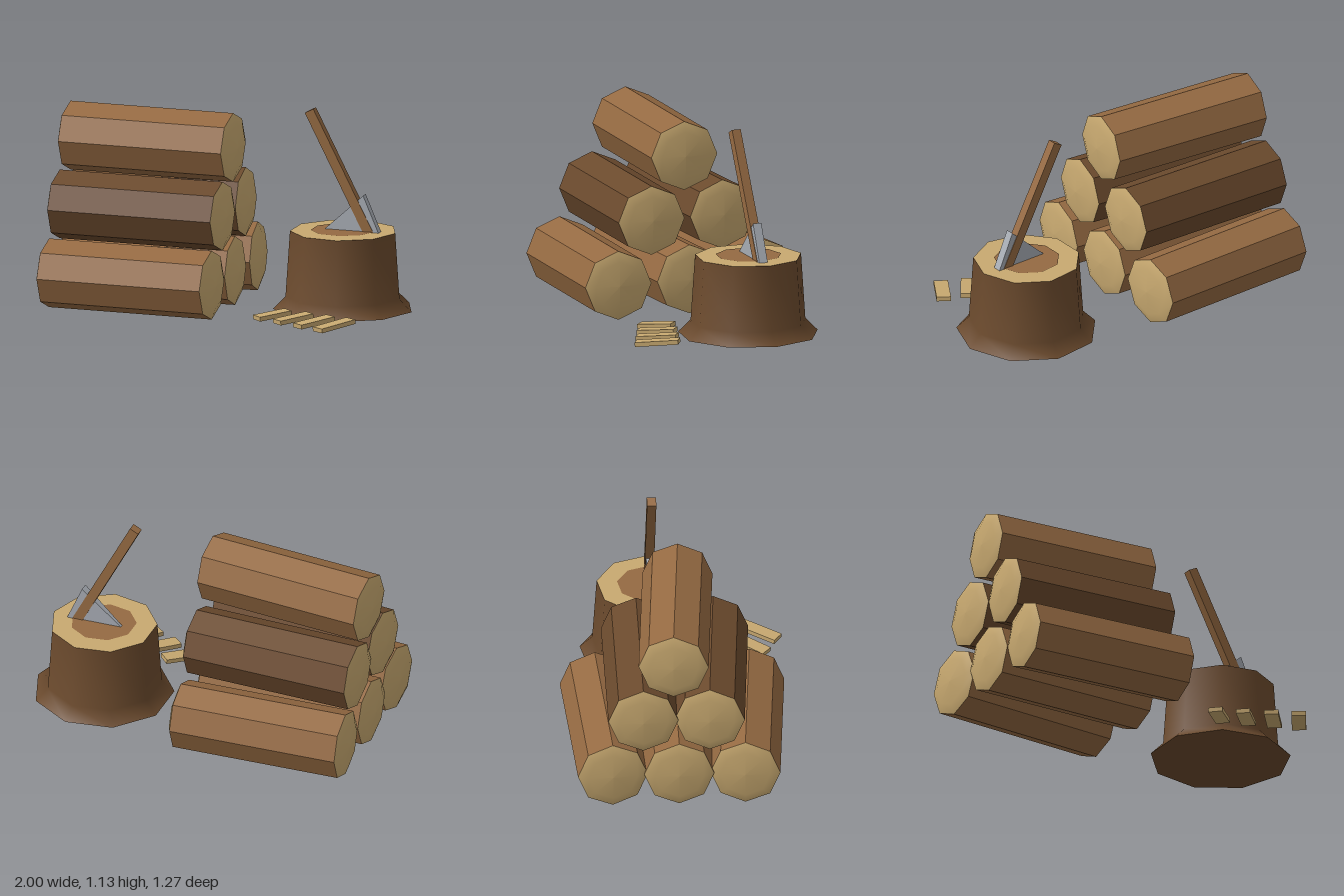
import * as THREE from 'three';

const mat = (name, color) => {
  const m = new THREE.MeshStandardMaterial({ color });
  m.name = name;
  return m;
};

export function createModel() {
  const bark = mat('light bark', 0x956a42);
  const darkBark = mat('dark bark', 0x6b4a2d);
  const cutWood = mat('cut wood', 0xc8a970);
  const steel = mat('steel', 0xa8adb5);

  const model = new THREE.Group();
  model.name = 'woodpile';
  const add = (parent, name, geometry, material, x = 0, y = 0, z = 0) => {
    const mesh = new THREE.Mesh(geometry, material);
    mesh.name = name;
    mesh.position.set(x, y, z);
    parent.add(mesh);
    return mesh;
  };
  const faceted = (geometry) => {
    const g = geometry.index ? geometry.toNonIndexed() : geometry;
    g.computeVertexNormals();
    return g;
  };
  const points = (list) => list.map(([x, y]) => new THREE.Vector2(x, y));

  // Stacked logs: eight-sided bark with shallow domed cut ends
  const R = 0.195, L = 0.97;
  const sides = faceted(new THREE.CylinderGeometry(R, R, L, 8, 1, true));
  const dome = new THREE.LatheGeometry(points([[R, 0], [R * 0.707, 0.021], [0, 0.03]]), 8);
  const logs = [
    // y, z, yaw, bark
    [0.195, 0.39, -0.065, bark],
    [0.195, -0.01, 0, bark],
    [0.195, -0.41, 0.062, bark],
    [0.548, 0.19, -0.062, darkBark],
    [0.548, -0.21, 0, darkBark],
    [0.9, -0.01, -0.065, bark],
  ];
  for (const [y, z, yaw, material] of logs) {
    const log = new THREE.Group();
    log.name = 'log';
    log.position.set(-0.485, y, z);
    log.rotation.set(0, yaw, -Math.PI / 2, 'YXZ');
    add(log, 'logBark', sides, material);
    add(log, 'logEnd', dome, cutWood, 0, L / 2, 0);
    add(log, 'logEnd', dome, cutWood, 0, -L / 2, 0).rotation.x = Math.PI;
    model.add(log);
  }

  // Chopping block with flared foot
  const block = new THREE.Group();
  block.name = 'choppingBlock';
  block.position.set(0.605, 0, -0.105);
  model.add(block);
  add(block, 'blockBark', new THREE.LatheGeometry(
    points([[0.395, 0], [0.325, 0.07], [0.3, 0.442]]), 9, Math.PI / 2), darkBark);
  const disc = (r) => new THREE.CircleGeometry(r, 9).rotateX(-Math.PI / 2);
  add(block, 'blockTop', disc(0.3), cutWood, 0, 0.442, 0);
  add(block, 'heartwood', disc(0.185), bark, 0, 0.446, 0);
  add(block, 'blockUnderside', disc(0.395).rotateX(Math.PI), darkBark);

  // Axe stuck in the block
  const axe = new THREE.Group();
  axe.name = 'axe';
  axe.position.z = -0.105;
  model.add(axe);
  const top = new THREE.Vector2(0.41, 1.113), foot = new THREE.Vector2(0.765, 0.42);
  const handle = add(axe, 'axeHandle',
    new THREE.BoxGeometry(0.055, top.distanceTo(foot), 0.052), bark,
    (top.x + foot.x) / 2, (top.y + foot.y) / 2, 0);
  handle.rotation.z = Math.atan2(foot.x - top.x, top.y - foot.y);

  // Wedge head: triangle in profile, thinning towards the cutting tip
  const shape = new THREE.Shape(points([[0.47, 0.422], [0.823, 0.422], [0.725, 0.65]]));
  const head = new THREE.ExtrudeGeometry(shape, { depth: 0.05, bevelEnabled: false });
  head.translate(0, 0, -0.025);
  const p = head.attributes.position;
  for (let i = 0; i < p.count; i++) {
    if (p.getX(i) < 0.5) p.setZ(i, p.getZ(i) * 0.25);
  }
  add(axe, 'axeHead', faceted(head), steel);

  // Split chips fanned out on the ground
  const chips = [
    // x, z, length, yaw
    [0.325, 0.333, 0.2, -0.77],
    [0.465, 0.39, 0.215, -0.71],
    [0.605, 0.45, 0.23, -0.64],
    [0.74, 0.507, 0.245, -0.565],
  ];
  for (const [x, z, length, yaw] of chips) {
    const chip = add(model, 'woodChip', new THREE.BoxGeometry(0.08, 0.025, length),
      cutWood, x, 0.029, z);
    chip.rotation.set(0.09, yaw, 0, 'YXZ');
  }

  return model;
}
